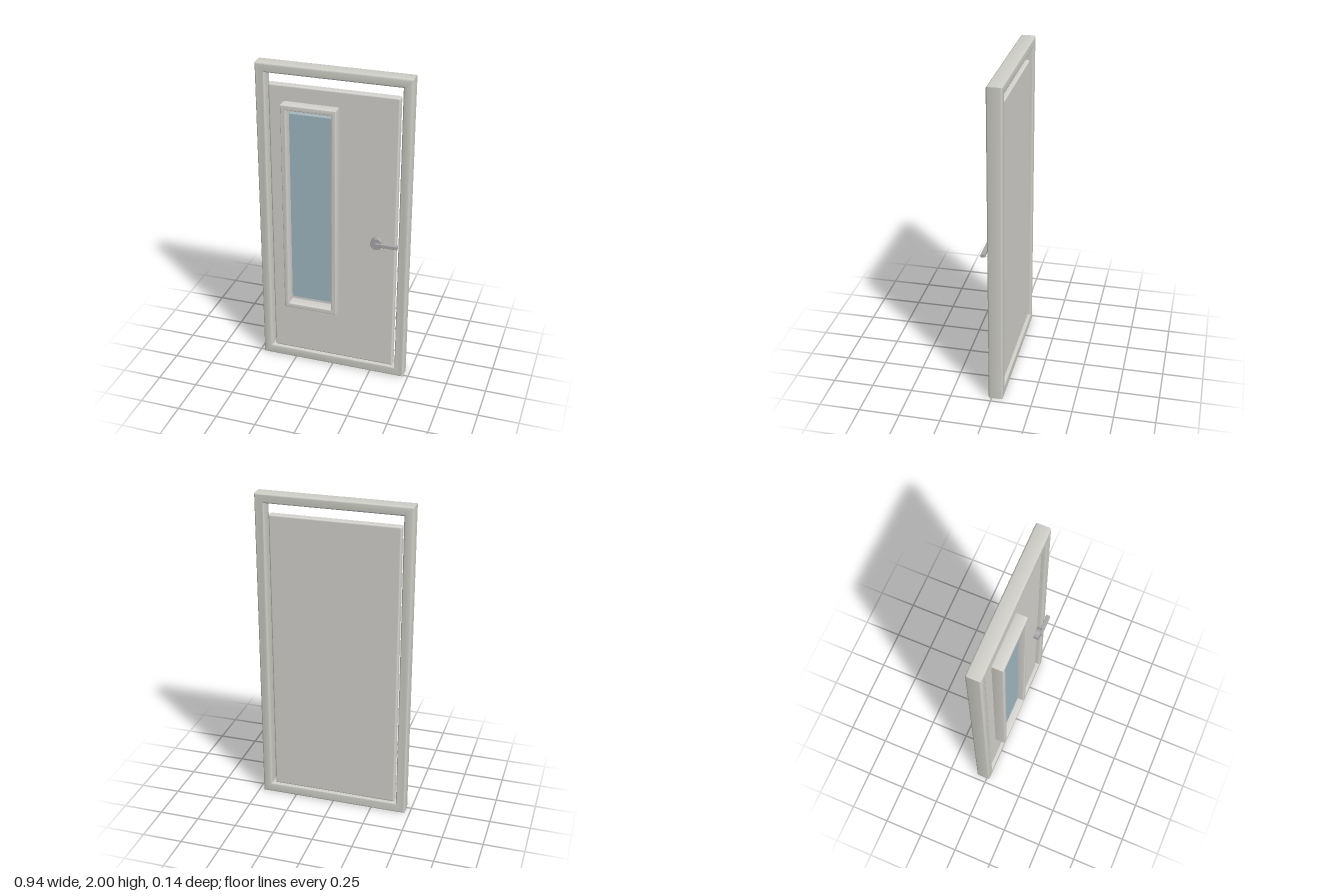
import * as THREE from 'three';
import { toCreasedNormals } from 'three/addons/utils/BufferGeometryUtils.js';
import { RoundedBoxGeometry } from 'three/addons/geometries/RoundedBoxGeometry.js';

const material = (color) => new THREE.MeshStandardMaterial({ color });

function rect(path, x0, x1, y0, y1) {
  path.moveTo(x0, y0).lineTo(x1, y0).lineTo(x1, y1).lineTo(x0, y1).closePath();
  return path;
}

// Rectangular frame with an opening and softly bevelled edges, between z0 and z1
function frameGeometry(outer, inner, z0, z1, bevel) {
  const shape = rect(new THREE.Shape(), ...outer);
  shape.holes.push(rect(new THREE.Path(), ...inner));
  const geometry = new THREE.ExtrudeGeometry(shape, {
    depth: z1 - z0 - 2 * bevel,
    bevelThickness: bevel,
    bevelSize: bevel,
    bevelOffset: -bevel,
    bevelSegments: 3,
  });
  geometry.translate(0, 0, z0 + bevel);
  return toCreasedNormals(geometry, 0.7);
}

// Rounded box given by its extents
function slab(x0, x1, y0, y1, z0, z1, radius) {
  const geometry = new RoundedBoxGeometry(x1 - x0, y1 - y0, z1 - z0, 3, radius);
  return geometry.translate((x0 + x1) / 2, (y0 + y1) / 2, (z0 + z1) / 2);
}

export function createModel() {
  const model = new THREE.Group();
  model.name = 'door';

  const frameMaterial = material(0xd0d0c9);
  const panelMaterial = material(0xd6d4cf);
  const glassMaterial = material(0xa2bac4);
  const metalMaterial = material(0xaaaaaa);

  const add = (name, geometry, mat, parent = model) => {
    const mesh = new THREE.Mesh(geometry, mat);
    mesh.name = name;
    parent.add(mesh);
  };

  // Surround and door leaf
  add('doorFrame', frameGeometry([-0.47, 0.47, 0, 2], [-0.412, 0.412, 0.063, 1.943], -0.07, 0.02, 0.01), frameMaterial);
  add('doorPanel', slab(-0.397, 0.393, 0.06, 1.873, -0.05, 0, 0.01), panelMaterial);

  // Raised window on the front
  const windowGroup = new THREE.Group();
  windowGroup.name = 'window';
  model.add(windowGroup);
  add('windowFrame', frameGeometry([-0.3, 0.037, 0.413, 1.777], [-0.271, 0.007, 0.442, 1.748], -0.005, 0.068, 0.004), panelMaterial, windowGroup);
  add('windowGlass', new THREE.BoxGeometry(0.257, 1.237, 0.035).translate(-0.1315, 1.0955, 0.0125), glassMaterial, windowGroup);

  // Handle: round rose and lever
  const handle = new THREE.Group();
  handle.name = 'handle';
  handle.position.set(0.285, 0.956, 0);
  model.add(handle);
  add('handleRose', new THREE.CylinderGeometry(0.037, 0.037, 0.033, 24).rotateX(Math.PI / 2).translate(0, 0, 0.043), metalMaterial, handle);
  add('handleLever', slab(-0.003, 0.134, -0.011, 0.011, 0.044, 0.07, 0.003), metalMaterial, handle);

  return model;
}
